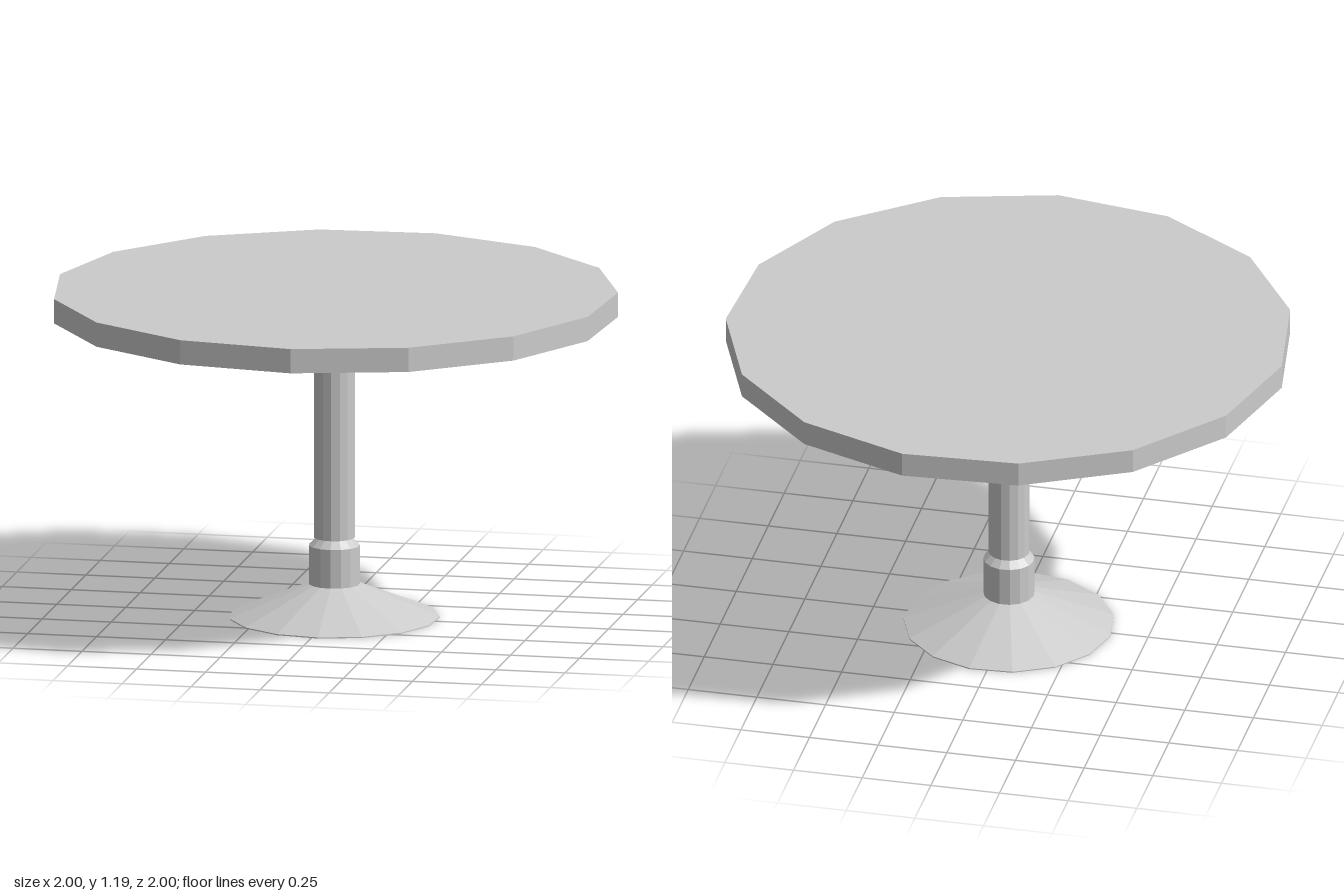
import * as THREE from 'three';

const SIDES = 15;
const TURN = THREE.MathUtils.degToRad(3);

// Faceted turned part from [radius, height] pairs, bottom to top
function turned(name, profile, material) {
  const points = profile.map(([r, y]) => new THREE.Vector2(r, y));
  const mesh = new THREE.Mesh(new THREE.LatheGeometry(points, SIDES, TURN), material);
  mesh.name = name;
  return mesh;
}

export function createModel() {
  const group = new THREE.Group();
  group.name = 'pedestalTable';
  const material = new THREE.MeshStandardMaterial({ color: 0xcccccc, flatShading: true });

  group.add(
    // Flared foot with a closed underside
    turned('base', [[0, 0], [0.375, 0], [0.375, 0.004], [0.091, 0.12], [0, 0.12]], material),
    // Sleeve with a chamfered shoulder
    turned('collar', [[0.091, 0.12], [0.091, 0.26], [0.063, 0.288]], material),
    // Post, slightly overhanging the shoulder
    turned('column', [[0, 0.288], [0.073, 0.288], [0.073, 1.055]], material),
    // Round top with a shallow conical underside
    turned('tabletop', [[0, 1.05], [0.073, 1.05], [0.87, 1.097], [1.007, 1.098], [1.007, 1.186], [0, 1.186]], material),
  );

  // An odd-sided outline sits slightly off its own centre
  group.children.forEach((part) => part.position.set(0.0055, 0, -0.0055));
  return group;
}
